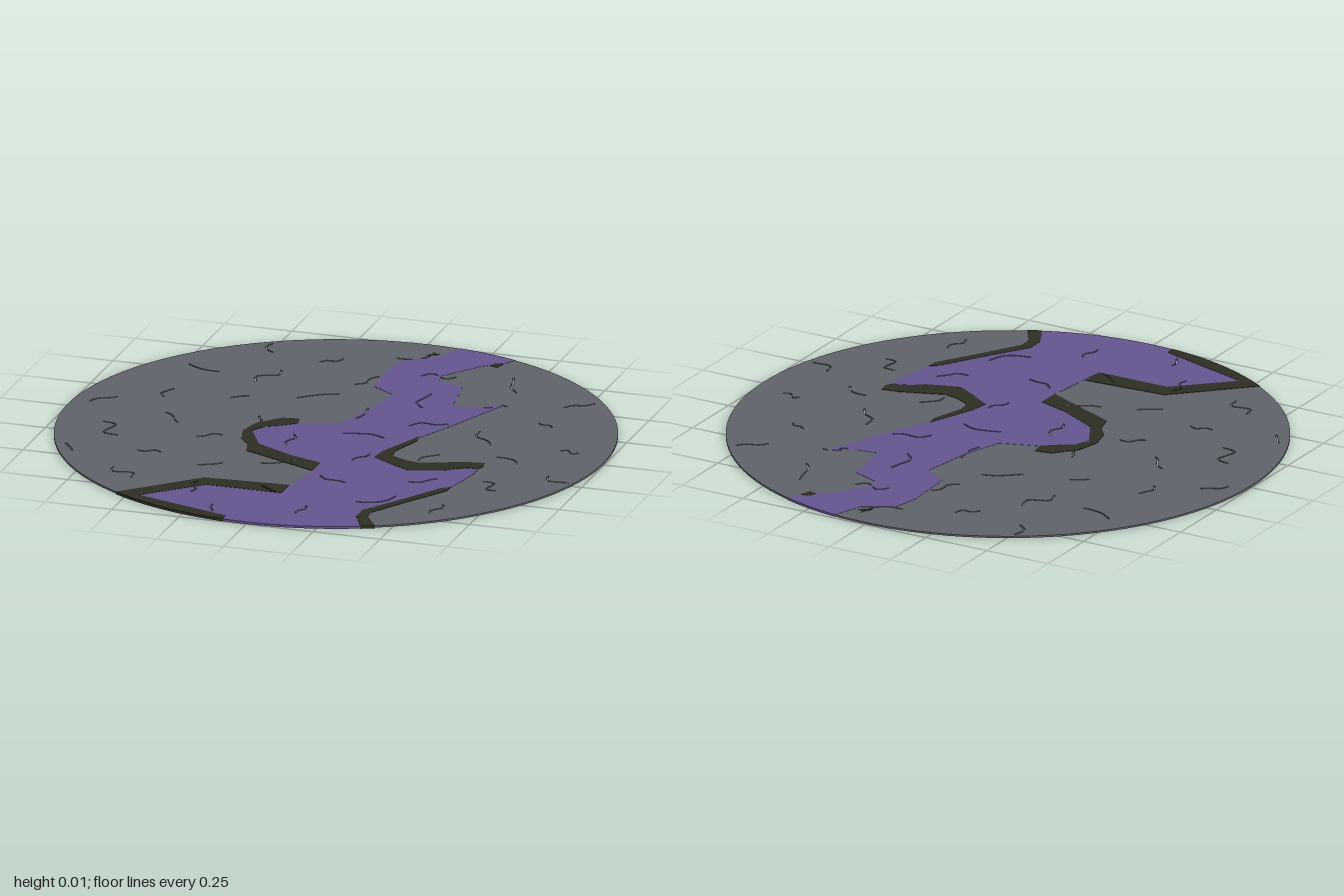
import * as THREE from 'three';

const stoneMat = new THREE.MeshStandardMaterial({ name: 'grey stone', color: 0x5e6269 });
const riverMat = new THREE.MeshStandardMaterial({ name: 'purple river', color: 0x65548f });
const bankMat = new THREE.MeshStandardMaterial({ name: 'dark bank', color: 0x2e2d23 });

// flat list of hundredths (x, z, x, z ...) to plan points
const points = (...list) => {
  const out = [];
  for (let i = 0; i < list.length; i += 2) out.push(new THREE.Vector2(list[i] / 100, list[i + 1] / 100));
  return out;
};

// points along the rim between two angles in degrees (0 = +x, 90 = +z)
const rim = (from, to, radius, steps = 24) => Array.from({ length: steps + 1 }, (_, i) => {
  const a = THREE.MathUtils.degToRad(from + (to - from) * i / steps);
  return new THREE.Vector2(Math.cos(a) * radius, Math.sin(a) * radius);
});

// short bent cracks, spread evenly over the disc in a sunflower pattern
function makeCracks(count) {
  let seed = 7;
  const random = () => (seed = (seed * 16807) % 2147483647) / 2147483647;
  return Array.from({ length: count }, (_, i) => {
    const around = i * 2.39996, radius = 0.96 * Math.sqrt((i + 0.5) / count);
    const heading = random() * Math.PI * 2, half = 0.035 + random() * 0.05;
    const along = new THREE.Vector2(Math.cos(heading), Math.sin(heading));
    const across = new THREE.Vector2(-along.y, along.x);
    const bends = [0, random() - 0.5, random() - 0.5, 0];
    const line = bends.map((bend, k) => new THREE.Vector2(Math.cos(around), Math.sin(around))
      .multiplyScalar(radius)
      .addScaledVector(along, half * (k / 1.5 - 1))
      .addScaledVector(across, half * bend));
    return new THREE.SplineCurve(line).getPoints(12);
  });
}
const cracks = makeCracks(44);

// true when p lies inside the outline and clear of its edge
function isInside(p, outline) {
  let inside = false;
  for (let i = 0, j = outline.length - 1; i < outline.length; j = i++) {
    const a = outline[i], b = outline[j];
    if ((a.y > p.y) !== (b.y > p.y) && p.x < (b.x - a.x) * (p.y - a.y) / (b.y - a.y) + a.x) inside = !inside;
    const d = b.clone().sub(a);
    const t = THREE.MathUtils.clamp(p.clone().sub(a).dot(d) / (d.lengthSq() || 1), 0, 1);
    if (a.clone().addScaledVector(d, t).distanceTo(p) < 0.007) return false;
  }
  return inside;
}

// narrow closed sliver around a line, pointed at both ends
function sliver(line) {
  const left = [], right = [];
  for (let i = 1; i < line.length - 1; i++) {
    const d = line[i + 1].clone().sub(line[i - 1]).normalize().multiplyScalar(0.003);
    left.push(new THREE.Vector2(line[i].x - d.y, line[i].y + d.x));
    right.unshift(new THREE.Vector2(line[i].x + d.y, line[i].y - d.x));
  }
  return [line[0], ...left, line[line.length - 1], ...right];
}

// the cracks cut down to the parts within an outline
function crackHoles(outline) {
  const holes = [];
  for (const crack of cracks) {
    let run = [];
    const close = () => {
      if (run.length > 2) holes.push(sliver(run));
      run = [];
    };
    for (const p of crack) {
      if (isInside(p, outline)) run.push(p);
      else close();
    }
    close();
  }
  return holes;
}

// thin slab pierced by cracks; the inset keeps layered faces apart
function slab(name, outline, material, inset) {
  const flip = (list) => list.map((p) => new THREE.Vector2(p.x, -p.y));
  const shape = new THREE.Shape(flip(outline));
  shape.holes = crackHoles(outline).map((h) => new THREE.Path(flip(h)));
  const geometry = new THREE.ExtrudeGeometry(shape, { depth: 0.01 - inset * 2, bevelEnabled: false });
  geometry.rotateX(-Math.PI / 2).translate(0, inset, 0);
  const mesh = new THREE.Mesh(geometry, material);
  mesh.name = name;
  return mesh;
}

export function createModel() {
  const group = new THREE.Group();
  group.name = 'crackedGroundDisc';
  const addBank = (name, outline) => group.add(slab(name, outline, bankMat, 0));

  // round stone ground
  group.add(slab('stoneGround', rim(0, 357, 0.998, 119), stoneMat, 0.0016));

  // river winding from back to front, between its left and right shores
  const leftShore = points(33, -89, 26, -83, 16, -69, 17, -64, 27, -60, 30, -40, 38, -41, 47, -47,
    42, -34, 37, -21, 30, -5, 22, 18, 30, 25, 37, 29, 48, 25, 60, 20, 60, 27, 57, 42, 36, 74, 36, 81);
  const rightShore = points(-9, 97, -45, 85, -27, 66, 2, 66, 5, 39, -22, 26, -29, 10, -26, 2,
    -16, -5, -2, -10, 3, -26, 6, -45, -3, -51, -4, -72, -2, -81, 9, -88);
  group.add(slab('river', [
    ...rim(-82.6, -69, 0.999, 8), ...leftShore, ...rim(66, 95, 0.999), ...rightShore,
  ], riverMat, 0.0008));

  // dark banks at the two bends
  addBank('leftBendBank', points(29, -5, 30, -1, 26, 12, 27, 17, 33, 20, 38, 21, 54, 15, 60, 14,
    61, 18, 59, 21, 55, 21, 49, 26, 37, 30, 30, 26, 21, 20, 22, 13));
  addBank('rightBendBank', points(-17, -10, -23, -9, -30, -1, -32, 8, -30, 16, -26, 21, -24, 28,
    5, 41, 5, 32, -7, 28, -22, 20, -29, 7, -26, 2, -21, -1, -16, -5));

  // dark banks running out to the front rim
  addBank('rightFrontBank', [
    ...points(-45, 85, -26, 67, 2, 67, 2, 58, -29, 60), ...rim(122.5, 95, 1), ...points(-9, 96),
  ]);
  addBank('leftFrontBank', [
    ...points(57, 42, 54, 44, 44, 61, 35, 75, 35, 82), ...rim(66.5, 63.5, 1, 3),
    ...points(39, 81, 39, 76, 49, 59, 57, 46),
  ]);

  // small dark patches by the back shore
  addBank('rightBackBank', points(4, -88, 5, -90, 8, -91, 7, -89));
  addBank('leftBackBank', points(29, -85, 30, -88, 33, -88, 32, -84));

  return group;
}
